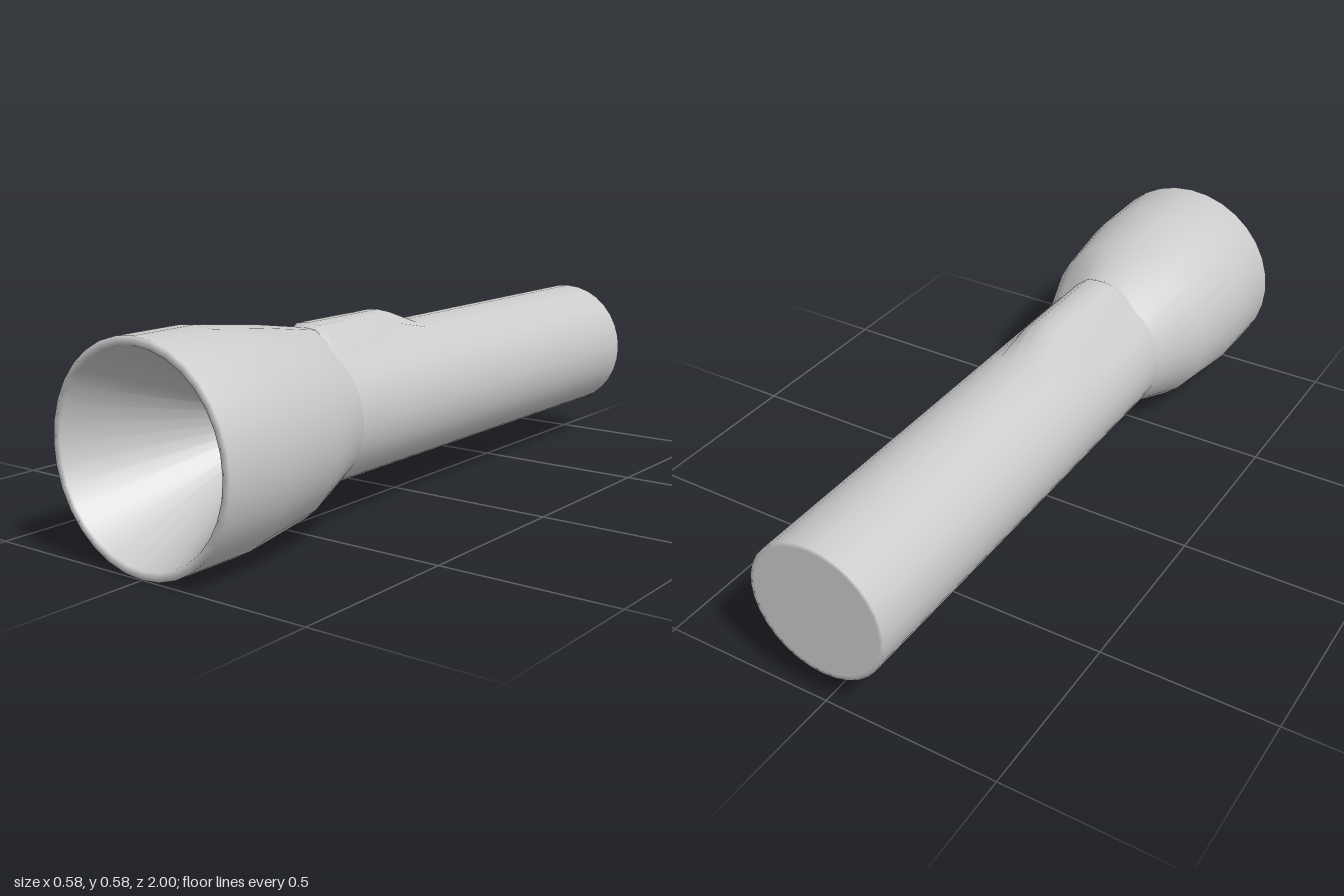
import * as THREE from 'three';

const SIDES = 32;
const AXIS_Y = 0.292;
const material = new THREE.MeshStandardMaterial({ color: 0xcccccc, side: THREE.DoubleSide });

// Height of the switch bump along z, and how it fades across the angle from the top
const bumpAlongZ = [[-0.05, 0], [0.08, 0.045], [0.38, 0.045], [0.4, 0.035], [0.58, 0]];
const bumpAcross = [[0, 1], [11.25, 1], [22.5, 0.6], [33.75, 0]];

function lerpTable(table, t) {
  if (t < table[0][0] || t > table[table.length - 1][0]) return 0;
  for (let i = 1; i < table.length; i++) {
    const [t0, v0] = table[i - 1], [t1, v1] = table[i];
    if (t <= t1) return v0 + (v1 - v0) * (t - t0) / (t1 - t0);
  }
  return 0;
}

// Turn a profile of [radius, z] around the z axis, then raise the switch bump
function turnedPart(name, profile) {
  const geo = new THREE.LatheGeometry(profile.map(([r, z]) => new THREE.Vector2(r, z)), SIDES);
  geo.rotateX(Math.PI / 2);
  const pos = geo.attributes.position;
  const turned = geo.attributes.normal.clone();
  const nearBump = [];
  for (let i = 0; i < pos.count; i++) {
    const x = pos.getX(i), y = pos.getY(i), z = pos.getZ(i);
    const angle = Math.abs(THREE.MathUtils.radToDeg(Math.atan2(x, y)));
    const outside = Math.hypot(x, y) > 0.19 && z < 0.57;
    nearBump[i] = outside && angle < 35 && z > -0.06;
    if (outside) pos.setY(i, y + lerpTable(bumpAlongZ, z) * lerpTable(bumpAcross, angle));
  }
  // Fresh normals on the bump, turned normals elsewhere
  geo.computeVertexNormals();
  const normal = geo.attributes.normal;
  for (let i = 0; i < pos.count; i++) {
    if (!nearBump[i]) normal.setXYZ(i, turned.getX(i), turned.getY(i), turned.getZ(i));
  }
  const mesh = new THREE.Mesh(geo, material);
  mesh.name = name;
  mesh.position.y = AXIS_Y;
  return mesh;
}

export function createModel() {
  const group = new THREE.Group();
  group.name = 'flashlight';

  // Handle with closed rear end and thumb switch
  group.add(turnedPart('handle', [
    [0, -1], [0.185, -1], [0.198, -1], [0.198, -0.05],
    [0.198, 0.08], [0.198, 0.38], [0.198, 0.4],
  ]));

  // Flared head, front rim and conical reflector
  group.add(turnedPart('head', [
    [0.198, 0.4], [0.263, 0.58], [0.291, 0.8], [0.291, 1],
    [0.268, 1], [0.04, 0.52], [0, 0.5],
  ]));

  return group;
}
